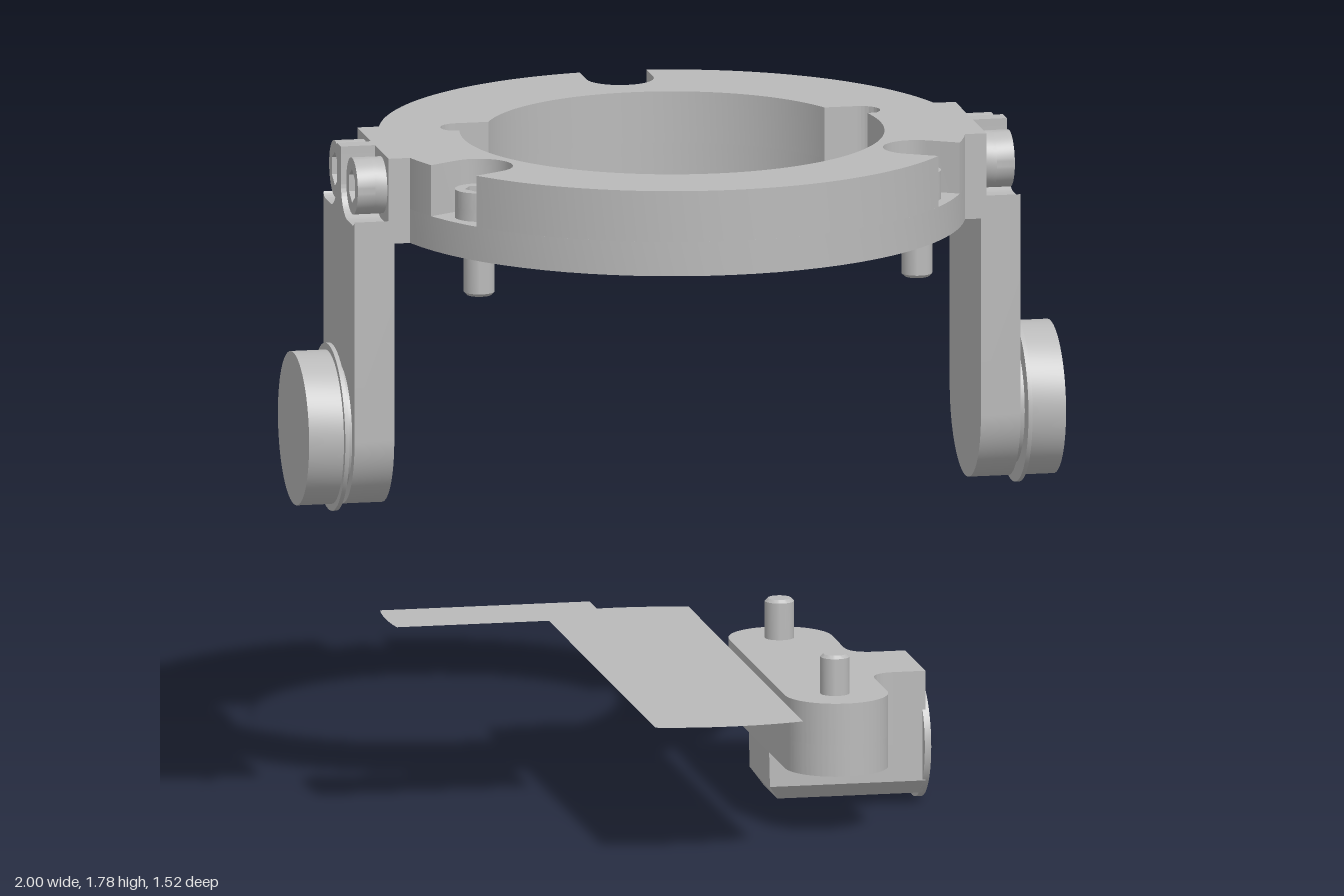
import * as THREE from 'three';
import { toCreasedNormals } from 'three/addons/utils/BufferGeometryUtils.js';

const V = (x, y) => new THREE.Vector2(x, y);
const rad = THREE.MathUtils.degToRad;

export function createModel() {
  const root = new THREE.Group();
  const grey = new THREE.MeshStandardMaterial({ color: 0xbababa, side: THREE.DoubleSide });
  grey.name = 'machined grey';

  function add(parent, name, geo) {
    const mesh = new THREE.Mesh(toCreasedNormals(geo, 0.5), grey);
    mesh.name = name;
    parent.add(mesh);
    return mesh;
  }
  const extrude = (shape, depth) =>
    new THREE.ExtrudeGeometry(shape, { depth, bevelEnabled: false, curveSegments: 32 });
  // outline in x,z standing between two heights
  const slab = (shape, y0, y1) => extrude(shape, y1 - y0).rotateX(Math.PI / 2).translate(0, y1, 0);
  // outline in z,y running along x
  const along = (shape, x0, x1) => extrude(shape, x1 - x0).rotateY(Math.PI / 2).translate(x0, 0, 0);
  const disc = (r, x0, x1, y) =>
    new THREE.CylinderGeometry(r, r, x1 - x0, 64).rotateZ(-Math.PI / 2).translate((x0 + x1) / 2, y, 0);
  const circle = (x, y, r) => new THREE.Path().absarc(x, y, r, 0, Math.PI * 2, false);

  // socket screw, head bottom at the origin, head upwards
  function screw(parent, name, headR, headH, shankR, shankL) {
    const g = new THREE.Group();
    g.name = name;
    const ring = new THREE.Shape().absarc(0, 0, headR, 0, Math.PI * 2, false);
    const hex = [];
    for (let i = 0; i < 6; i++) hex.push(V(Math.cos(i * Math.PI / 3), Math.sin(i * Math.PI / 3)).multiplyScalar(headR * 0.6));
    ring.holes.push(new THREE.Path(hex));
    add(g, 'screwHead', slab(ring, headH * 0.4, headH));
    add(g, 'screwHeadBase', new THREE.CylinderGeometry(headR, headR, headH * 0.4, 40).translate(0, headH * 0.2, 0));
    add(g, 'screwShank', new THREE.LatheGeometry([
      V(0, -shankL), V(shankR - 0.008, -shankL), V(shankR, -shankL + 0.008), V(shankR, 0)], 32));
    parent.add(g);
    return g;
  }

  // ---- ring with side tabs and three screw pockets ----
  const R = 0.76, pocketR = 0.088, boltR = 0.667, tabZ = 0.2, tabX = 0.79;
  const boltAngles = [rad(29.9), rad(150.1), rad(270)];

  function ringShape(pockets) {
    const pts = [];
    const arc = (a, b) => {
      for (let i = 0; i <= 32; i++) pts.push(V(R * Math.cos(a + (b - a) * i / 32), R * Math.sin(a + (b - a) * i / 32)));
    };
    const pocket = (a) => {
      for (let i = 0; i <= 20; i++) {
        const t = -Math.PI / 2 - Math.PI * i / 20;
        pts.push(V(boltR + pocketR * Math.cos(t), pocketR * Math.sin(t)).rotateAround(V(0, 0), a));
      }
    };
    const tab = Math.asin(tabZ / R), half = Math.asin(pocketR / R);
    let from = tab;
    const cut = (a) => { if (pockets) { arc(from, a - half); pocket(a); from = a + half; } };
    pts.push(V(tabX, tabZ));
    cut(boltAngles[0]);
    cut(boltAngles[1]);
    arc(from, Math.PI - tab);
    pts.push(V(-tabX, tabZ), V(-tabX, -tabZ));
    from = Math.PI + tab;
    cut(boltAngles[2]);
    arc(from, Math.PI * 2 - tab);
    pts.push(V(tabX, -tabZ));

    // opening: wide at the front, narrower at the back, round reliefs between
    const hole = new THREE.Path();
    const aF = Math.asin(-0.11 / 0.55), aB = Math.asin(-0.2 / 0.487);
    hole.absarc(0, 0, 0.55, aF, Math.PI - aF, false);
    hole.absarc(-0.53, -0.15, 0.05, rad(130), rad(270), false);
    hole.absarc(0, 0, 0.487, Math.PI - aB, Math.PI * 2 + aB, false);
    hole.absarc(0.53, -0.15, 0.05, rad(-90), rad(50), false);
    const shape = new THREE.Shape(pts);
    shape.holes.push(hole);
    return shape;
  }
  const ring = new THREE.Group();
  ring.name = 'ring';
  root.add(ring);
  add(ring, 'ringBase', slab(ringShape(false), 1.565, 1.655));
  add(ring, 'ringTop', slab(ringShape(true), 1.655, 1.79));
  add(ring, 'innerBand', new THREE.CylinderGeometry(0.487, 0.487, 0.015, 96, 1, true).translate(0, 1.573, 0));
  for (const a of boltAngles)
    screw(ring, 'ringScrew', 0.063, 0.075, 0.04, 0.205).position.set(boltR * Math.cos(a), 1.655, boltR * Math.sin(a));

  // ---- hanging arms with round knobs ----
  const armShape = new THREE.Shape();
  armShape.absarc(0, 1.045, 0.2, Math.PI, Math.PI * 2, false);
  armShape.lineTo(0.2, 1.625);
  armShape.quadraticCurveTo(0.19, 1.612, 0.17, 1.612);
  armShape.lineTo(0.11, 1.612);
  armShape.absarc(0.11, 1.697, 0.085, -Math.PI / 2, -Math.PI, true);
  armShape.lineTo(0.025, 1.79);
  armShape.lineTo(-0.025, 1.79);
  armShape.absarc(-0.11, 1.697, 0.085, 0, -Math.PI / 2, true);
  armShape.lineTo(-0.17, 1.612);
  armShape.quadraticCurveTo(-0.19, 1.612, -0.2, 1.625);

  for (const side of ['left', 'right']) {
    const arm = new THREE.Group();
    arm.name = side + 'Arm';
    if (side === 'right') arm.rotation.y = Math.PI;
    root.add(arm);
    add(arm, 'armPlate', along(armShape, 0.775, 0.88));
    add(arm, 'knobNeck', disc(0.17, 0.87, 0.9, 1.045));
    add(arm, 'knobFlange', disc(0.218, 0.897, 0.908, 1.045));
    add(arm, 'knob', disc(0.2, 0.905, 1, 1.045));
    for (const z of [-0.11, 0.11]) {
      const s = screw(arm, 'armScrew', 0.074, 0.078, 0.035, 0.1);
      s.rotation.z = -Math.PI / 2;
      s.position.set(0.79, 1.703, z);
    }
  }

  // ---- loose thin strips ----
  function strip(name, y, pts) {
    add(root, name, new THREE.ShapeGeometry(new THREE.Shape(pts)).rotateX(Math.PI / 2).translate(0, y, 0));
  }
  const arcPts = (a, b) => {
    const p = [];
    for (let i = 0; i <= 12; i++) p.push(V(0.757 * Math.cos(a + (b - a) * i / 12), 0.757 * Math.sin(a + (b - a) * i / 12)));
    return p;
  };
  const w = Math.asin(0.195 / 0.757), n = Math.asin(0.108 / 0.757), q = Math.PI / 2;
  strip('wideStrip', 0.37, [...arcPts(q - w, q + w), ...arcPts(3 * q - w, 3 * q + w)]);
  strip('narrowStrip', 0.53, [V(-0.195, 0.108), ...arcPts(Math.PI - n, Math.PI + n), V(-0.195, -0.108)]);

  // ---- lower bracket ----
  const bracket = new THREE.Group();
  bracket.name = 'bracket';
  root.add(bracket);
  const bodyShape = () => {
    const s = new THREE.Shape();
    s.absarc(0.36, -0.355, 0.135, Math.PI, Math.PI * 2, false);
    s.lineTo(0.495, -0.2);
    s.quadraticCurveTo(0.495, -0.13, 0.565, -0.13);
    s.lineTo(0.565, 0.13);
    s.quadraticCurveTo(0.495, 0.13, 0.495, 0.2);
    s.absarc(0.36, 0.355, 0.135, 0, Math.PI, false);
    return s;
  };
  const counterbored = bodyShape();
  counterbored.holes.push(circle(0.357, 0.355, 0.078), circle(0.357, -0.355, 0.078));
  add(bracket, 'bracketTop', slab(bodyShape(), 0.25, 0.36));
  add(bracket, 'bracketBottom', slab(counterbored, 0.167, 0.25));

  // boss with chamfered underside and a bore facing outwards
  const bossShape = () => new THREE.Shape([
    V(-0.09, 0.03), V(0.09, 0.03), V(0.13, 0.07), V(0.13, 0.36), V(-0.13, 0.36), V(-0.13, 0.07)]);
  const inner = along(bossShape(), 0.225, 0.55);
  const p = inner.attributes.position;
  for (let i = 0; i < p.count; i++) if (p.getX(i) < 0.23 && p.getY(i) < 0.08) p.setX(i, 0.225 + (0.08 - p.getY(i)) * 0.7);
  add(bracket, 'bossInner', inner);
  const bored = bossShape();
  bored.holes.push(circle(0, 0.165, 0.083));
  add(bracket, 'bossOuter', along(bored, 0.55, 0.643));
  add(bracket, 'bossFlange', new THREE.LatheGeometry([
    V(0.083, 0.635), V(0.16, 0.635), V(0.16, 0.652), V(0.083, 0.652), V(0.083, 0.61),
    V(0.045, 0.61), V(0.012, 0.56), V(0, 0.56)], 64).rotateZ(-Math.PI / 2).translate(0, 0.165, 0));

  for (const z of [-0.355, 0.355]) {
    const s = screw(bracket, 'bracketScrew', 0.06, 0.07, 0.038, 0.215);
    s.rotation.x = Math.PI;
    s.position.set(0.357, 0.25, z);
  }
  return root;
}
